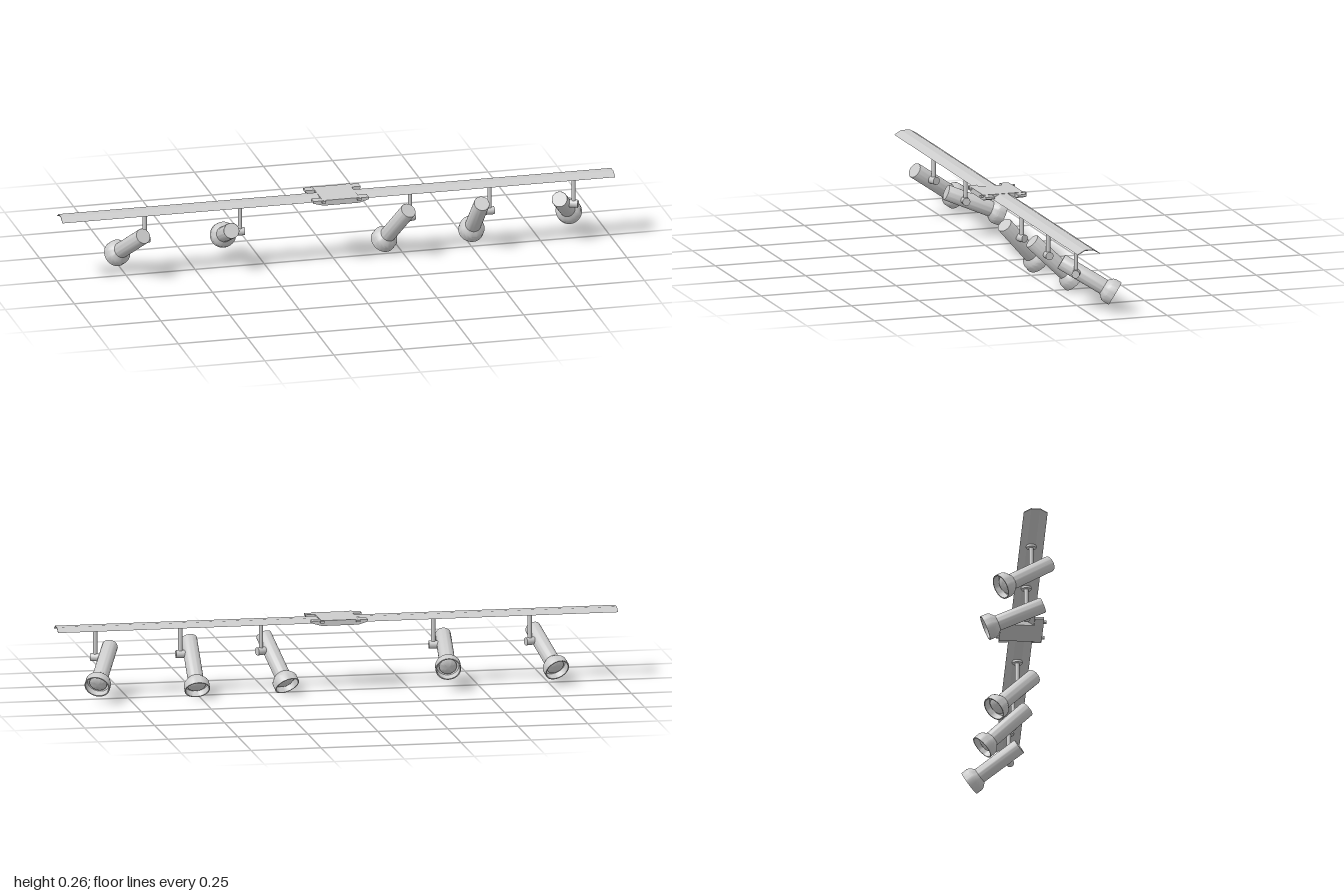
import * as THREE from 'three';
import { toCreasedNormals } from 'three/addons/utils/BufferGeometryUtils.js';

const material = new THREE.MeshStandardMaterial({ color: 0xcccccc, side: THREE.DoubleSide });
const TRACK_Z = 0.04;
const PIVOT_Y = 0.14;

function add(parent, name, geometry, x = 0, y = 0, z = 0) {
  const mesh = new THREE.Mesh(geometry, material);
  mesh.name = name;
  mesh.position.set(x, y, z);
  parent.add(mesh);
  return mesh;
}

function extrude(points, depth) {
  const shape = new THREE.Shape(points.map(([x, y]) => new THREE.Vector2(x, y)));
  return new THREE.ExtrudeGeometry(shape, { depth, bevelEnabled: false });
}

// Folded sheet rail with a flat top and sloping sides, open underneath
function trackGeometry(length) {
  const outer = [[-0.042, 0.24], [-0.016, 0.255], [0.016, 0.255], [0.042, 0.24]];
  const inner = [[0.038, 0.24], [0.015, 0.2525], [-0.015, 0.2525], [-0.038, 0.24]];
  const g = extrude([...outer, ...inner], length);
  g.rotateY(Math.PI / 2);
  return g;
}

// Lathe around y, turned so the open end looks along -z
function latheAlongZ(points, segments = 32) {
  const g = new THREE.LatheGeometry(points.map(([r, y]) => new THREE.Vector2(r, y)), segments);
  g.rotateX(-Math.PI / 2);
  return toCreasedNormals(g, 0.5);
}

const housing = latheAlongZ([
  [0, -0.065], [0.027, -0.065], [0.028, -0.063], [0.028, 0.108],
  [0.034, 0.114], [0.042, 0.123], [0.045, 0.13], [0.045, 0.155],
  [0.041, 0.155], [0.04, 0.132], [0.03, 0.122], [0, 0.122],
]);
const bulb = latheAlongZ([[0.03, 0.122], [0.031, 0.138], [0.024, 0.143], [0.013, 0.146], [0, 0.147]]);

function createSpot(x, yaw, pitch) {
  const spot = new THREE.Group();
  spot.name = 'spotlight';
  spot.position.set(x, 0, TRACK_Z);

  add(spot, 'trackMount', new THREE.CylinderGeometry(0.018, 0.018, 0.009, 24), 0, 0.2485);
  add(spot, 'rod', new THREE.CylinderGeometry(0.0075, 0.0075, 0.115, 16), 0, 0.1925);

  // Lamp turns about the rod, then tilts about the knuckle
  const swivel = new THREE.Group();
  swivel.name = 'swivel';
  swivel.position.y = PIVOT_Y;
  swivel.rotation.y = yaw;
  spot.add(swivel);
  add(swivel, 'knuckle', new THREE.CylinderGeometry(0.014, 0.014, 0.04, 20), -0.004).rotation.z = Math.PI / 2;

  const lamp = new THREE.Group();
  lamp.name = 'lamp';
  lamp.position.x = -0.04;
  lamp.rotation.x = -pitch;
  swivel.add(lamp);
  add(lamp, 'housing', housing);
  add(lamp, 'bulb', bulb);
  return spot;
}

export function createModel() {
  const model = new THREE.Group();
  model.name = 'trackLight';

  // Two rails meeting at the centre plate
  add(model, 'leftTrack', trackGeometry(0.94), 0.06, 0, TRACK_Z);
  add(model, 'rightTrack', trackGeometry(0.94), -1, 0, TRACK_Z);

  // Centre plate with bevelled arms along front and back
  const plate = new THREE.Group();
  plate.name = 'centrePlate';
  plate.position.z = TRACK_Z;
  model.add(plate);
  add(plate, 'plateBody', new THREE.BoxGeometry(0.134, 0.019, 0.15), 0, 0.2465, 0);
  const arm = extrude([[-0.065, 0.237], [0.065, 0.237], [0.1, 0.247], [0.1, 0.255], [-0.1, 0.255], [-0.1, 0.247]], 0.032);
  for (const side of [-1, 1]) {
    add(plate, 'plateArm', arm, 0, 0, side * 0.059 - 0.016);
    for (const end of [-1, 1]) {
      add(plate, 'plateNib', new THREE.BoxGeometry(0.014, 0.007, 0.02), end * 0.064, 0.2515, side * 0.075);
    }
  }

  // Spotlights: position along the track, yaw, downward pitch
  const spots = [
    [-0.692, 0.31, 0.58],
    [-0.347, -0.09, 0.4],
    [0.268, 0.38, 0.79],
    [0.556, 0, 0.77],
    [0.86, -0.43, 0.53],
  ];
  for (const s of spots) model.add(createSpot(...s));
  return model;
}
